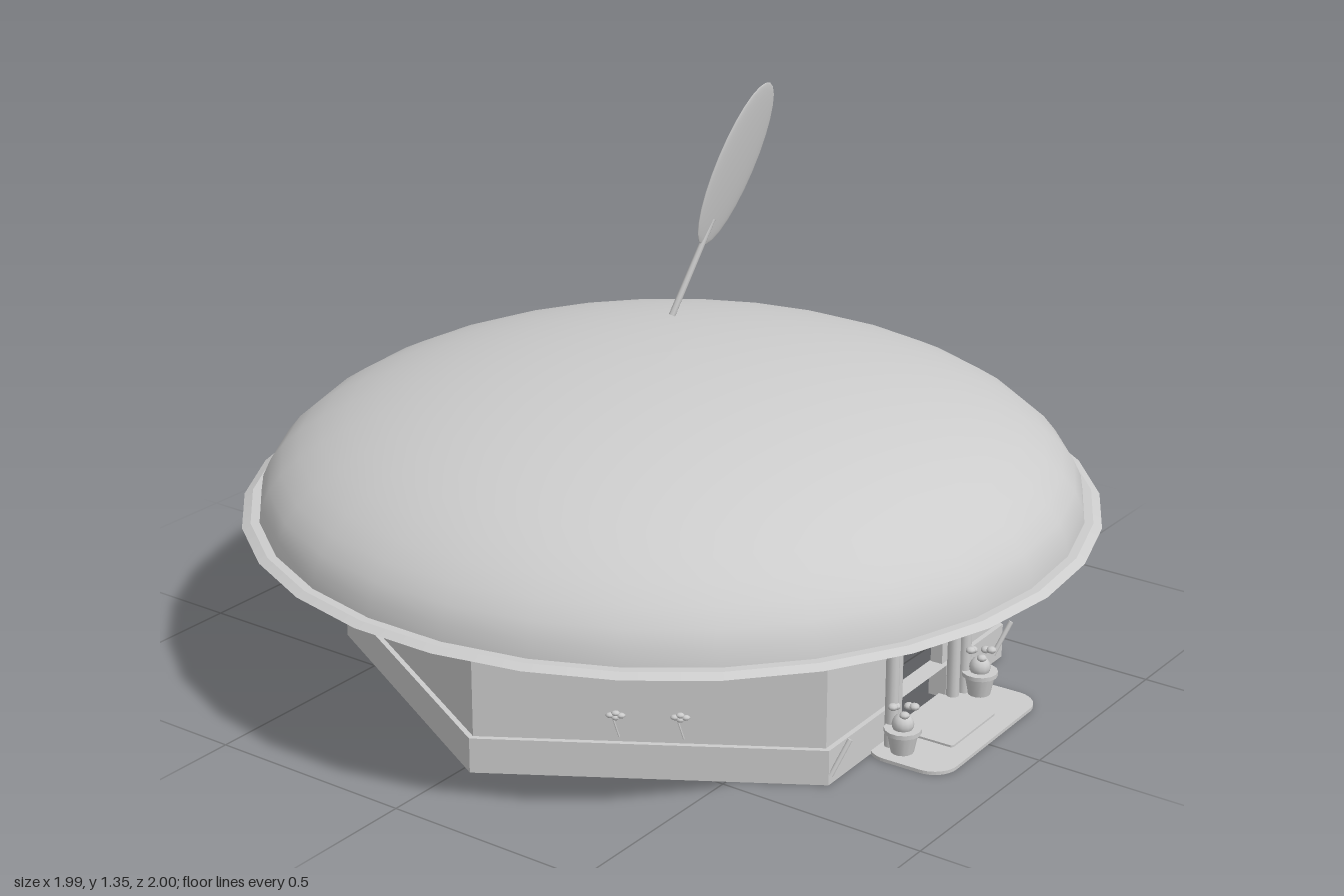
import * as THREE from 'three';

const grey = new THREE.MeshStandardMaterial({ color: 0xcccccc, side: THREE.DoubleSide });
grey.name = 'plain grey';

function add(parent, name, geometry, x = 0, y = 0, z = 0) {
  const mesh = new THREE.Mesh(geometry, grey);
  mesh.name = name;
  mesh.position.set(x, y, z);
  parent.add(mesh);
  return mesh;
}

function group(parent, name) {
  const g = new THREE.Group();
  g.name = name;
  parent.add(g);
  return g;
}

const lathe = (pts, n = 30) => new THREE.LatheGeometry(pts.map(p => new THREE.Vector2(p[0], p[1])), n);

// Upright panel with an optional doorway notch cut from the bottom
function panel(width, height, depth, door, doorHeight) {
  const w = width / 2, s = new THREE.Shape();
  s.moveTo(-w, 0);
  if (door) {
    s.lineTo(-door, 0);
    s.lineTo(-door, doorHeight);
    s.lineTo(door, doorHeight);
    s.lineTo(door, 0);
  }
  s.lineTo(w, 0);
  s.lineTo(w, height);
  s.lineTo(-w, height);
  s.closePath();
  return new THREE.ExtrudeGeometry(s, { depth, bevelEnabled: false });
}

// Low-poly rounded slab lying on the ground
function slab(w, d, r, h) {
  const s = new THREE.Shape();
  s.absarc(w / 2 - r, d / 2 - r, r, 0, Math.PI / 2);
  s.absarc(-w / 2 + r, d / 2 - r, r, Math.PI / 2, Math.PI);
  s.absarc(-w / 2 + r, -d / 2 + r, r, Math.PI, Math.PI * 1.5);
  s.absarc(w / 2 - r, -d / 2 + r, r, Math.PI * 1.5, Math.PI * 2);
  return new THREE.ExtrudeGeometry(s, { depth: h, bevelEnabled: false, curveSegments: 5 }).rotateX(-Math.PI / 2);
}

function buildRoof(root) {
  const roof = group(root, 'roof');
  // Dome
  const dome = [];
  for (let i = 0; i <= 14; i++) {
    const a = i / 14 * Math.PI / 2;
    dome.push([0.96 * Math.cos(a), 0.4 + 0.345 * Math.sin(a)]);
  }
  add(roof, 'dome', lathe(dome));
  // Rim and eaves
  add(roof, 'rimEdge', lathe([[1, 0.392], [0.98, 0.402]]));
  add(roof, 'rimTop', lathe([[0.98, 0.402], [0.955, 0.402]]));
  add(roof, 'eaves', lathe([[0.6, 0.392], [1, 0.392]]));
  // Scalloped drip under the eaves
  const drip = new THREE.CylinderGeometry(0.93, 0.93, 0.02, 96, 1, true);
  const p = drip.attributes.position;
  for (let i = 0; i < p.count; i++) {
    const a = Math.atan2(p.getZ(i), p.getX(i));
    if (p.getY(i) < 0) p.setY(i, 0.008 - 0.02 * Math.abs(Math.sin(a * 6 + 0.8)));
  }
  add(roof, 'drip', drip, 0, 0.383, 0);
}

function buildLeaf(root) {
  // Floating stem and leaf leaning to the front left
  const leaf = group(root, 'leafAndStem');
  leaf.position.y = 0.833;
  leaf.rotation.set(0.183, 0, -0.45);
  add(leaf, 'stem', new THREE.CylinderGeometry(0.007, 0.008, 0.24, 8), 0, 0.12, 0);
  add(leaf, 'leaf', new THREE.SphereGeometry(1, 28, 14).scale(0.085, 0.2, 0.007), 0, 0.375, 0);
}

function beadString(wall, u) {
  const s = group(wall, 'beadString');
  s.position.set(u, 0, 0.68);
  [[0.365, 0.012, 0.02], [0.325, 0.012, 0.016], [0.298, 0.009, 0.009]].forEach(([y, r, h]) =>
    add(s, 'bead', new THREE.SphereGeometry(1, 10, 6).scale(r, h, r), 0, y, 0));
}

function flower(wall, u) {
  const f = group(wall, 'flower');
  f.position.set(u, 0.155, 0.685);
  for (let i = 0; i < 4; i++) {
    const a = i * Math.PI / 2;
    add(f, 'petal', new THREE.SphereGeometry(1, 8, 5).scale(0.01, 0.006, 0.008),
      Math.cos(a) * 0.012, Math.sin(a) * 0.005, 0);
  }
  add(f, 'flowerStem', new THREE.CylinderGeometry(0.002, 0.002, 0.05, 5), 0, -0.03, -0.005).rotation.z = 0.3;
}

function buildPorch(front) {
  const porch = group(front, 'porch');
  add(porch, 'step', slab(0.46, 0.21, 0.06, 0.008), 0, 0, 0.765);
  add(porch, 'doormat', slab(0.2, 0.12, 0.008, 0.005), 0, 0.008, 0.76);
  for (const s of [-1, 1]) {
    // Stick pillars with pointed tops
    [[0.165, 0.7, 0.3], [0.132, 0.69, 0.29]].forEach(([u, z, h]) => {
      add(porch, 'pillar', new THREE.CylinderGeometry(0.015, 0.015, h, 12), s * u, h / 2, z);
      add(porch, 'pillarTip', new THREE.ConeGeometry(0.017, 0.022, 12), s * u, h + 0.011, z);
    });
    // Potted plant
    add(porch, 'pot', new THREE.CylinderGeometry(0.036, 0.026, 0.05, 14), s * 0.175, 0.033, 0.735);
    add(porch, 'potRim', new THREE.CylinderGeometry(0.042, 0.042, 0.01, 14), s * 0.175, 0.06, 0.735);
    add(porch, 'plant', new THREE.SphereGeometry(0.025, 12, 8), s * 0.175, 0.075, 0.735);
    for (let i = 0; i < 5; i++) {
      const a = i * Math.PI * 0.4;
      add(porch, 'plantLeaf', new THREE.SphereGeometry(1, 8, 5).scale(0.012, 0.008, 0.012),
        s * 0.175 + Math.cos(a) * 0.025, 0.108 + (i % 2) * 0.012, 0.735 + Math.sin(a) * 0.025);
    }
    // Leaning stake by the corner
    const stake = add(porch, 'cornerStake', new THREE.CylinderGeometry(0.006, 0.006, 0.09, 8), s * 0.365, 0.06, 0.69);
    stake.rotation.set(0.3, 0, -0.45);
  }
  // Hanging round sign facing sideways
  add(porch, 'signDisc', new THREE.CylinderGeometry(0.048, 0.048, 0.008, 24).rotateZ(Math.PI / 2), 0.215, 0.3, 0.735);
  add(porch, 'signRim', new THREE.TorusGeometry(0.048, 0.006, 6, 24).rotateY(Math.PI / 2), 0.215, 0.3, 0.735);
  add(porch, 'signArm', new THREE.BoxGeometry(0.008, 0.008, 0.09), 0.215, 0.362, 0.71);
}

function buildWalls(root) {
  const house = group(root, 'house');
  const R = 0.768, apothem = R * Math.cos(Math.PI / 6), baseR = 0.782;
  const baseApothem = baseR * Math.cos(Math.PI / 6);
  // Six sides, starting at the front and turning toward the left
  for (let k = 0; k < 6; k++) {
    const side = group(house, k ? 'wallSide' : 'frontSide');
    side.rotation.y = THREE.MathUtils.degToRad(1.7 + 60 * k);
    const door = k === 0 ? 0.122 : 0;
    add(side, 'wall', panel(R, 0.392, 0.03, door, 0.31), 0, 0, apothem - 0.03);
    add(side, 'plinth', panel(baseR, 0.083, 0.045, door, 0.083), 0, 0, baseApothem - 0.045);
    // Bead strings on the slanted sides, flowers on alternate ones
    if (k % 3) [-0.25, 0, 0.25].forEach(u => beadString(side, u));
    if (k === 1 || k === 3 || k === 5) [-0.07, 0.07].forEach(u => flower(side, u));
    if (k === 0) buildPorch(side);
  }
}

export function createModel() {
  const root = new THREE.Group();
  root.name = 'roundRoofedHouse';
  buildWalls(root);
  buildRoof(root);
  buildLeaf(root);
  return root;
}
